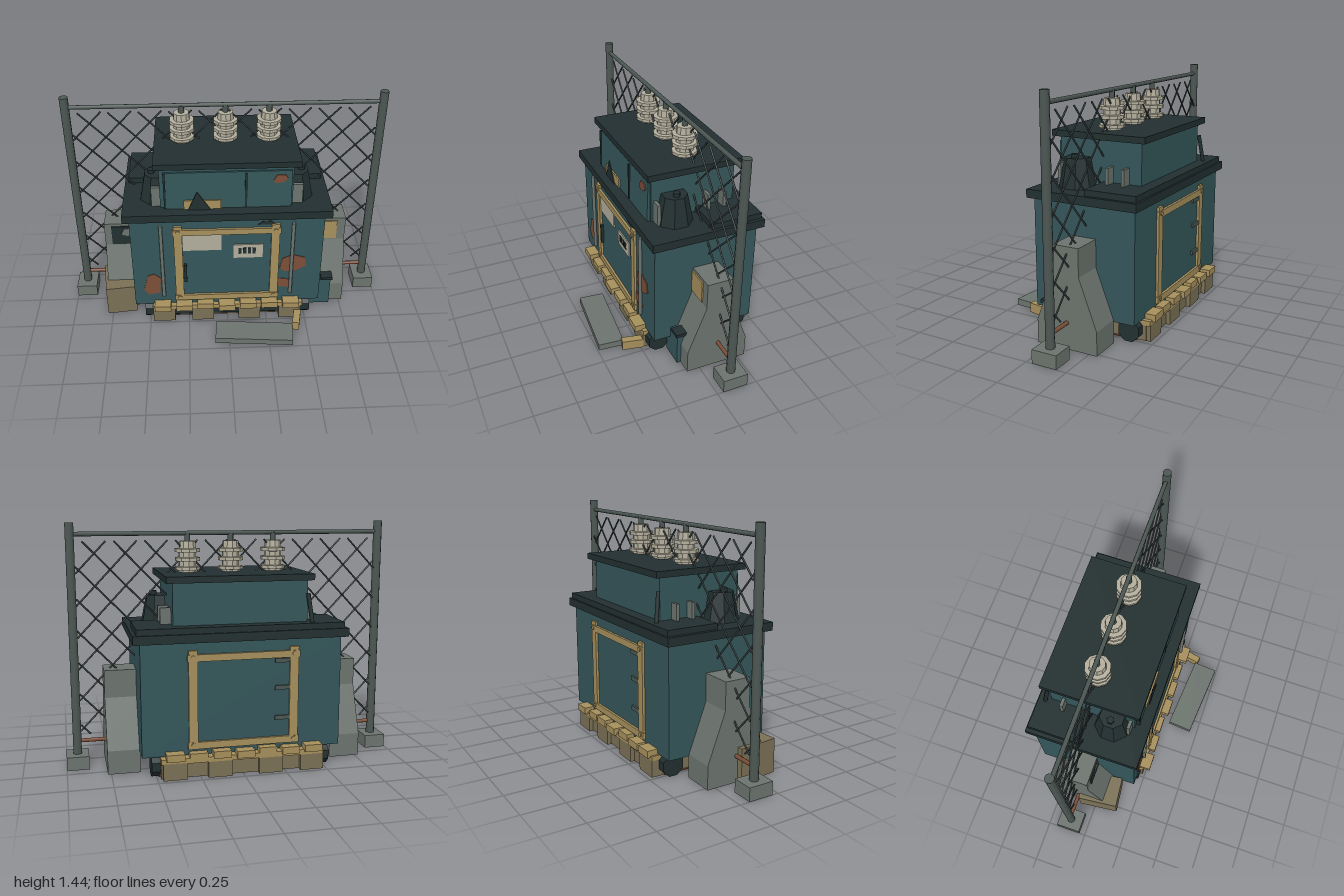
import * as THREE from 'three';

const mat = (name, color, side = THREE.FrontSide) => {
  const m = new THREE.MeshStandardMaterial({ color, side });
  m.name = name;
  return m;
};

export function createModel() {
  const green = mat('green paint', 0x34565a);
  const dark = mat('dark metal', 0x222f30);
  const concrete = mat('concrete', 0x6c746e);
  const steel = mat('galvanised steel', 0x4c5753);
  const tan = mat('tan timber', 0xa68f5c);
  const dirt = mat('weathered timber', 0x7a7055);
  const rust = mat('rust', 0x7b4e38);
  const cream = mat('porcelain', 0xb3ae9c);
  const wire = mat('wire', 0x343d3e);

  const model = new THREE.Group();
  const add = (name, geo, material, x = 0, y = 0, z = 0, parent = model) => {
    const m = new THREE.Mesh(geo, material);
    m.name = name;
    m.position.set(x, y, z);
    parent.add(m);
    return m;
  };
  // Box given by its extents along each axis
  const box = (name, material, x0, x1, y0, y1, z0, z1) =>
    add(name, new THREE.BoxGeometry(x1 - x0, y1 - y0, z1 - z0), material,
      (x0 + x1) / 2, (y0 + y1) / 2, (z0 + z1) / 2);
  const faceted = (geo) => {
    const g = geo.toNonIndexed();
    g.computeVertexNormals();
    return g;
  };
  // Round bar between two points
  const bar = (name, material, a, b, r, sides = 6) => {
    const p = new THREE.Vector3(...a), q = new THREE.Vector3(...b);
    const d = q.clone().sub(p);
    const m = add(name, new THREE.CylinderGeometry(r, r, d.length(), sides), material);
    m.position.copy(p).add(q).multiplyScalar(0.5);
    m.quaternion.setFromUnitVectors(new THREE.Vector3(0, 1, 0), d.normalize());
    return m;
  };
  // Thin flat polygon facing +z
  const patch = (name, material, pts, z) => {
    const s = new THREE.Shape(pts.map((p) => new THREE.Vector2(...p)));
    return add(name, new THREE.ExtrudeGeometry(s, { depth: 0.006, bevelEnabled: false }), material, 0, 0, z);
  };

  // Main tank and stepped lid
  box('tank', green, -0.59, 0.585, 0.13, 0.79, -0.43, 0.21);
  box('lid', dark, -0.628, 0.625, 0.785, 0.835, -0.457, 0.237);
  box('lidStep', dark, -0.605, 0.605, 0.835, 0.87, -0.445, -0.13);

  // Upper housing, door panel and roof
  box('upperHousing', green, -0.4, 0.39, 0.83, 1.115, -0.37, 0.15);
  const door = box('upperDoor', green, -0.37, 0.38, 0.835, 1.08, 0.148, 0.166);
  door.rotation.x = -0.03;
  box('roof', dark, -0.43, 0.43, 1.113, 1.15, -0.407, 0.185);
  box('doorSeam', dark, 0.103, 0.116, 0.84, 1.07, 0.16, 0.173);
  box('doorEdge', dark, -0.376, -0.364, 0.84, 1.08, 0.15, 0.173);
  box('upperNotice', tan, -0.26, -0.04, 0.835, 0.895, 0.168, 0.177);
  patch('warningFlap', dark, [[-0.235, 0.835], [-0.1, 0.835], [-0.18, 0.96]], 0.18);
  patch('rustPatch', rust, [[0.27, 1.02], [0.29, 1.055], [0.34, 1.055], [0.355, 1.03], [0.33, 1.005], [0.28, 1.0]], 0.164);

  // Side pots, cooling fins and a leaning bar
  for (const s of [-1, 1]) {
    const x = s * 0.42;
    add('sidePot', faceted(new THREE.CylinderGeometry(0.075, 0.11, 0.17, 8).rotateY(Math.PI / 8)), dark, x, 0.92, 0.02);
    add('potBolt', new THREE.CylinderGeometry(0.022, 0.022, 0.025, 6), dark, x + s * 0.03, 1.015, 0.02);
    for (const z of [0.125, -0.185, -0.285])
      box('coolingFin', concrete, s * 0.42 - 0.032, s * 0.42 + 0.032, 0.835, 0.965, z - 0.01, z + 0.01);
  }
  bar('leaningBar', dark, [-0.42, 0.86, -0.405], [-0.4, 1.035, -0.38], 0.013);

  // Timber frames on front and back
  for (const [z, s] of [[0.21, 1], [-0.43, -1]]) {
    const z0 = Math.min(z, z + s * 0.015), z1 = Math.max(z, z + s * 0.015);
    for (const x of [-0.303, 0.29]) {
      box('frameUpright', tan, x - 0.026, x + 0.026, 0.165, 0.74, z0, z1);
      for (const y of [0.19, 0.7])
        add('frameBolt', new THREE.CylinderGeometry(0.014, 0.014, 0.01, 8).rotateX(Math.PI / 2), tan, x, y, z + s * 0.018);
    }
    for (const y of [0.187, 0.697])
      box('frameRail', tan, -0.335, 0.322, y - 0.02, y + 0.02, z0 + s * 0.003, z1 + s * 0.003);
  }
  for (const y of [0.32, 0.5, 0.66]) box('hinge', steel, -0.28, -0.19, y - 0.012, y + 0.012, -0.442, -0.43);

  // Front plates, handle, conduits and rust
  box('blankPlate', cream, -0.275, -0.04, 0.555, 0.67, 0.21, 0.217);
  box('ratingPlate', cream, 0.035, 0.215, 0.49, 0.59, 0.21, 0.217);
  for (let i = 0; i < 4; i++)
    box('plateSlot', dark, 0.065 + i * 0.029, 0.084 + i * 0.029, 0.523, 0.567, 0.215, 0.22);
  box('doorHandle', dark, -0.272, -0.255, 0.315, 0.45, 0.21, 0.228);
  for (const x of [-0.405, 0.397]) bar('conduit', concrete, [x, 0.2, 0.22], [x, 0.745, 0.22], 0.011, 8);
  patch('rustPatch', rust, [[-0.53, 0.25], [-0.5, 0.36], [-0.46, 0.375], [-0.42, 0.34], [-0.43, 0.22], [-0.5, 0.21]], 0.208);
  patch('rustPatch', rust, [[0.325, 0.4], [0.34, 0.47], [0.4, 0.5], [0.48, 0.475], [0.49, 0.41], [0.42, 0.37], [0.35, 0.37]], 0.208);
  patch('rustPatch', rust, [[0.31, 0.25], [0.31, 0.315], [0.38, 0.305], [0.415, 0.27], [0.4, 0.235]], 0.208);
  patch('stain', dark, [[0.18, 0.735], [0.21, 0.76], [0.26, 0.76], [0.29, 0.735]], 0.208);

  // Concrete barriers with the flared profile swept along x
  const flare = new THREE.Shape([[-0.08, 0], [0.3, 0], [0.3, 0.14], [0.19, 0.43], [0.19, 0.593], [0.03, 0.593], [0.03, 0.43], [-0.08, 0.14]]
    .map((p) => new THREE.Vector2(...p)));
  for (const x of [-0.775, 0.58]) {
    const g = new THREE.ExtrudeGeometry(flare, { depth: 0.19, bevelEnabled: false }).rotateY(Math.PI / 2);
    add('barrier', g, concrete, x, 0, 0);
  }
  box('barrierSign', tan, 0.588, 0.715, 0.44, 0.575, -0.031, -0.022);
  box('barrierSignDark', dark, -0.73, -0.6, 0.44, 0.575, -0.031, -0.022);
  patch('signChip', concrete, [[-0.67, 0.52], [-0.65, 0.56], [-0.605, 0.565], [-0.6, 0.52], [-0.63, 0.505]], -0.023);

  // Crate and small control box beside the tank
  const crate = add('crate', new THREE.BoxGeometry(0.19, 0.205, 0.25), dirt, -0.7, 0.1025, 0.015);
  crate.rotation.y = 0.11;
  box('controlBox', green, 0.535, 0.68, 0, 0.2, 0, 0.105);
  box('controlBoxCap', dark, 0.615, 0.69, 0.2, 0.22, -0.01, 0.115);

  // Pallet: deck planks, edge beams, blocks and skid
  for (let i = 0; i < 7; i++) {
    const x = -0.415 + i * 0.136, y = i % 2 ? -0.006 : 0;
    box('deckPlank', tan, x - 0.052, x + 0.052, 0.115 + y, 0.157 + y, -0.495 + (i % 3) * 0.008, 0.278 - (i % 3) * 0.008);
  }
  for (const z of [-0.44, 0.2]) {
    box('edgeBeam', tan, -0.48, 0.48, 0.095, 0.125, z - 0.035, z + 0.035);
    for (const x of [-0.41, -0.16, 0.14, 0.4]) box('palletBlock', dirt, x - 0.07, x + 0.07, 0, 0.1, z - 0.035, z + 0.035);
  }
  box('skid', dirt, -0.48, 0.48, 0.004, 0.1, -0.45, 0.19);
  for (const x of [-0.4, 0.4]) box('rustSheet', rust, x - 0.09, x + 0.09, 0.001, 0.006, -0.4, -0.2);

  // Rollers under the tank
  for (const z of [0.155, -0.365])
    add('roller', faceted(new THREE.CylinderGeometry(0.069, 0.069, 1.06, 8).rotateY(Math.PI / 8).rotateZ(Math.PI / 2)), dark, 0, 0.068, z);

  // Loose slab and timber offcut in front
  const slab = add('looseSlab', new THREE.BoxGeometry(0.485, 0.04, 0.155), concrete, 0.16, 0.02, 0.395);
  slab.rotation.y = -0.085;
  const offcut = add('timberOffcut', new THREE.BoxGeometry(0.045, 0.06, 0.13), tan, 0.44, 0.03, 0.292);
  offcut.rotation.y = -0.2;

  // Porcelain insulators with stems up to the rail
  const profile = [[0, 0], [0.058, 0], [0.058, 0.01], [0.075, 0.012], [0.075, 0.03], [0.052, 0.032], [0.052, 0.062], [0.075, 0.064],
    [0.075, 0.084], [0.052, 0.086], [0.052, 0.114], [0.075, 0.116], [0.075, 0.136], [0.05, 0.138], [0.046, 0.18], [0, 0.18]];
  const insulator = faceted(new THREE.LatheGeometry(profile.map((p) => new THREE.Vector2(...p)), 10));
  for (const x of [-0.26, 0, 0.26]) {
    add('insulator', insulator, cream, x, 1.15, -0.113);
    bar('insulatorStem', steel, [x, 1.32, -0.113], [x, 1.375, -0.113], 0.017, 8);
  }

  // Fence posts, footings and rails
  for (const s of [-1, 1]) {
    bar('fencePost', steel, [s * 0.935, 0.05, -0.113], [s * 0.935, 1.44, -0.113], 0.026, 10);
    box('postFooting', concrete, s * 0.935 - 0.065, s * 0.935 + 0.065, 0, 0.08, -0.19, -0.037);
  }
  bar('topRail', steel, [-0.935, 1.375, -0.113], [0.935, 1.375, -0.113], 0.013, 8);
  bar('lowRail', rust, [-0.935, 0.157, -0.113], [0.935, 0.157, -0.113], 0.012, 8);

  // Chain-link mesh: two sets of diagonals clipped to the fence opening
  const W = 0.91, Y0 = 0.2, Y1 = 1.335, slope = 1.05;
  for (const s of [-1, 1]) {
    for (let c = -1.45; c <= 1.46; c += 0.178) {
      const t = [Y0, Y1].map((y) => c + (y - 0.77) / slope);
      const a = Math.max(t[0], -W), b = Math.min(t[1], W);
      if (b - a < 0.05) continue;
      const y = (x) => 0.77 + (x - c) * slope;
      bar('meshWire', wire, [s * a, y(a), -0.122 - s * 0.006], [s * b, y(b), -0.122 - s * 0.006], 0.0055, 5);
    }
  }
  return model;
}
